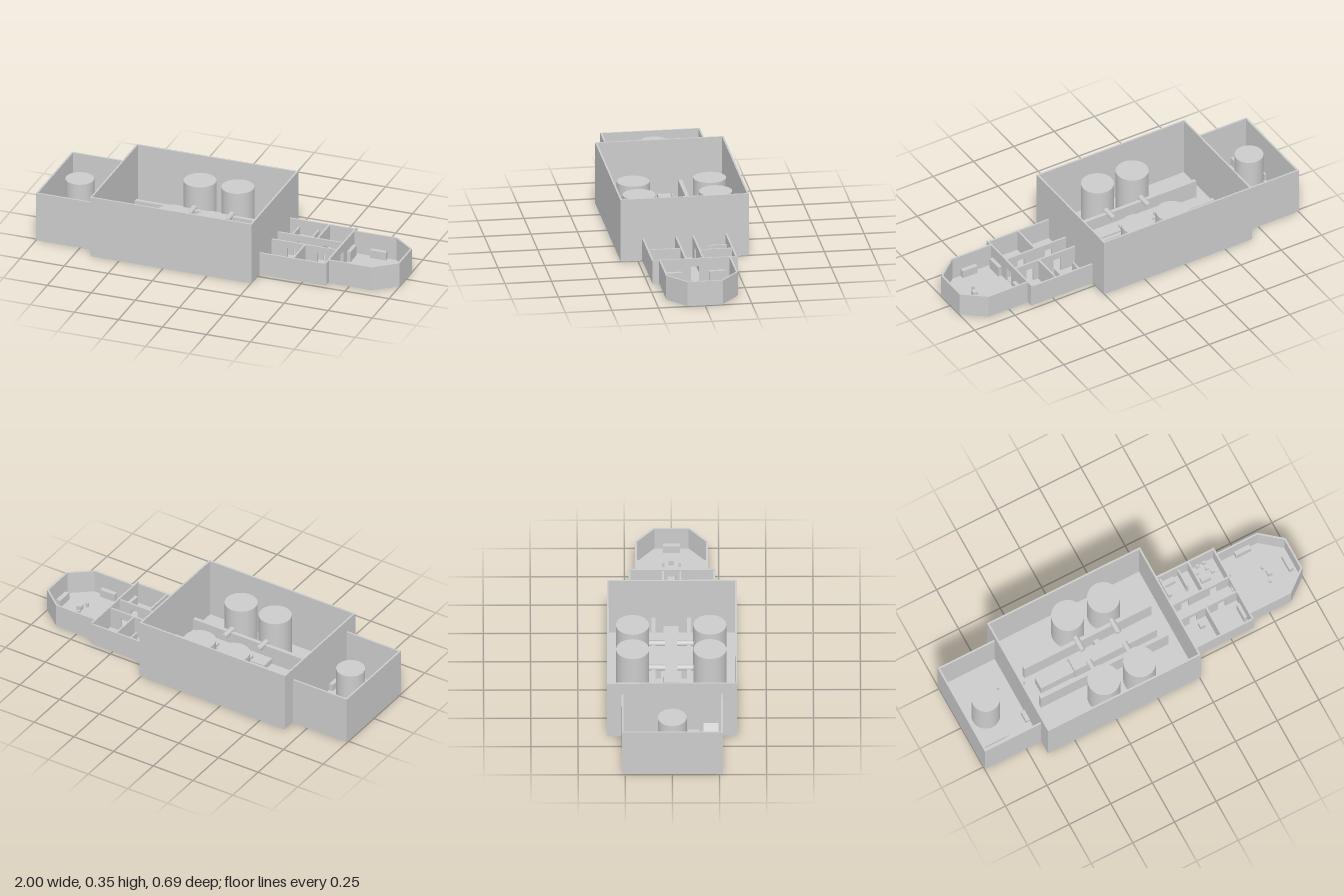
import * as THREE from 'three';

const T = 0.01;       // wall thickness
const FLOOR = 0.008;  // deck thickness

export function createModel() {
  const ship = new THREE.Group();
  ship.name = 'ship';
  const mat = new THREE.MeshStandardMaterial({ color: 0xcccccc, flatShading: true });
  const smooth = new THREE.MeshStandardMaterial({ color: 0xcccccc });

  const add = (name, geo, x, y, z, m = mat) => {
    const mesh = new THREE.Mesh(geo, m);
    mesh.name = name;
    mesh.position.set(x, y, z);
    ship.add(mesh);
    return mesh;
  };
  // Box standing on the deck
  const box = (name, x, z, w, d, h, y = FLOOR) =>
    add(name, new THREE.BoxGeometry(w, h, d), x, y + h / 2, z);

  // Upright wall between two plan points (centre line), with doorways at given distances
  const wall = (name, x1, z1, x2, z2, h, doors = [], ext = T / 2) => {
    const len = Math.hypot(x2 - x1, z2 - z1);
    const s = new THREE.Shape();
    s.moveTo(-ext, 0);
    for (const d of doors) {
      s.lineTo(d - 0.022, 0);
      s.lineTo(d - 0.022, 0.085);
      s.lineTo(d + 0.022, 0.085);
      s.lineTo(d + 0.022, 0);
    }
    s.lineTo(len + ext, 0);
    s.lineTo(len + ext, h - FLOOR);
    s.lineTo(-ext, h - FLOOR);
    const geo = new THREE.ExtrudeGeometry(s, { depth: T, bevelEnabled: false });
    geo.translate(0, 0, -T / 2);
    add(name, geo, x1, FLOOR, z1).rotation.y = -Math.atan2(z2 - z1, x2 - x1);
  };

  const floor = (name, pts) => {
    const s = new THREE.Shape(pts.map(([x, z]) => new THREE.Vector2(x, -z)));
    const geo = new THREE.ExtrudeGeometry(s, { depth: FLOOR, bevelEnabled: false });
    geo.rotateX(-Math.PI / 2);
    add(name, geo, 0, 0, 0);
  };
  const rect = (x1, x2, z) => [[x1, z], [x2, z], [x2, -z], [x1, -z]];

  // Engine room
  floor('engineFloor', rect(-0.995, -0.65, 0.263));
  wall('engineAftWall', -0.995, -0.263, -0.995, 0.263, 0.28);
  for (const s of [-1, 1]) wall('engineSideWall', -0.995, s * 0.263, -0.66, s * 0.263, 0.28);
  add('engineTank', new THREE.CylinderGeometry(0.077, 0.077, 0.262, 32), -0.853, FLOOR + 0.131, 0, smooth);
  box('engineLocker', -0.925, 0.242, 0.06, 0.03, 0.05);
  box('engineCrate', -0.735, -0.108, 0.03, 0.025, 0.03);
  box('engineCrate', -0.675, 0.115, 0.022, 0.06, 0.04);
  box('engineConsole', -0.985, 0.065, 0.012, 0.03, 0.04);
  box('engineKerb', -0.835, 0.16, 0.31, 0.006, 0.02);

  // Sloping ramp in the engine room
  const rampShape = new THREE.Shape([[0, 0], [0.16, 0], [0.16, 0.09]].map(p => new THREE.Vector2(...p)));
  add('engineRamp', new THREE.ExtrudeGeometry(rampShape, { depth: 0.08, bevelEnabled: false }), -0.835, FLOOR, 0.165);

  // Main tank hall
  floor('hallFloor', rect(-0.656, 0.25, 0.34));
  for (const s of [-1, 1]) wall('hallSideWall', -0.657, s * 0.34, 0.251, s * 0.34, 0.35);
  wall('hallAftWall', -0.657, -0.34, -0.657, 0.34, 0.35);
  wall('hallForeWall', 0.251, -0.34, 0.251, 0.34, 0.35);
  box('mainMachine', -0.09, -0.004, 0.495, 0.08, 0.11);
  box('machineExtension', -0.437, -0.004, 0.2, 0.068, 0.08);
  for (const s of [-1, 1]) {
    const off = -0.004;
    box('hallPartition', -0.192, s * 0.094 + off, 0.765, 0.021, 0.14);
    box('hallCrate', -0.147, s * 0.07 + off, 0.03, 0.03, 0.05);
    for (const x of [-0.25, -0.035]) {
      add('storageTank', new THREE.CylinderGeometry(0.088, 0.088, 0.262, 32), x, FLOOR + 0.131, s * 0.205 + off, smooth);
      const pipe = new THREE.CylinderGeometry(0.016, 0.016, 0.1, 16);
      pipe.rotateX(Math.PI / 2);
      add('feedPipe', pipe, x, 0.148, s * 0.082 + off, smooth);
    }
  }
  box('hallPost', -0.595, -0.06, 0.012, 0.012, 0.05);

  // Crew quarters either side of a corridor
  floor('quartersFloor', rect(0.25, 0.63, 0.224));
  for (const s of [-1, 1]) {
    wall('quartersSideWall', 0.257, s * 0.224, 0.63, s * 0.224, 0.13);
    wall('corridorWall', 0.257, s * 0.046, 0.63, s * 0.046, 0.13, [0.11, 0.28]);
  }
  wall('quartersDivider', 0.48, -0.224, 0.48, -0.046, 0.13);
  wall('quartersDivider', 0.445, 0.046, 0.445, 0.224, 0.13);
  wall('bridgeBulkhead', 0.632, -0.224, 0.632, 0.224, 0.137, [0.224]);
  wall('washroomWall', 0.31, -0.22, 0.31, -0.12, 0.09);
  wall('washroomWall', 0.42, -0.22, 0.42, -0.12, 0.09);
  box('bunk', 0.35, -0.2, 0.07, 0.03, 0.04);
  box('washstand', 0.325, -0.14, 0.02, 0.025, 0.04);
  box('table', 0.535, -0.13, 0.055, 0.03, 0.035);
  for (const [x, z] of [[0.51, -0.18], [0.53, -0.215], [0.57, -0.215], [0.59, -0.15], [0.57, -0.18]])
    box('stool', x, z, 0.018, 0.018, 0.025);
  box('desk', 0.395, 0.094, 0.03, 0.03, 0.04);
  box('cabinet', 0.612, 0.137, 0.018, 0.09, 0.07);

  // Bridge with a blunt chamfered bow
  const bow = [[0.632, -0.188], [0.877, -0.188], [0.994, -0.093], [0.994, 0.093], [0.877, 0.188], [0.632, 0.188]];
  floor('bridgeFloor', bow);
  for (let i = 0; i < bow.length - 1; i++)
    wall('bridgeWall', ...bow[i], ...bow[i + 1], 0.137, [], 0.002);
  box('helmConsole', 0.96, 0, 0.025, 0.09, 0.045);
  box('captainSeat', 0.85, -0.002, 0.025, 0.03, 0.03);
  for (const s of [-1, 1]) {
    box('sideConsole', 0.78, s * 0.17, 0.09, 0.025, 0.045);
    box('aftCabinet', 0.648, s * 0.118, 0.02, 0.09, 0.06);
    box('crewSeat', 0.832, s * 0.043, 0.014, 0.014, 0.025);
  }
  return ship;
}
